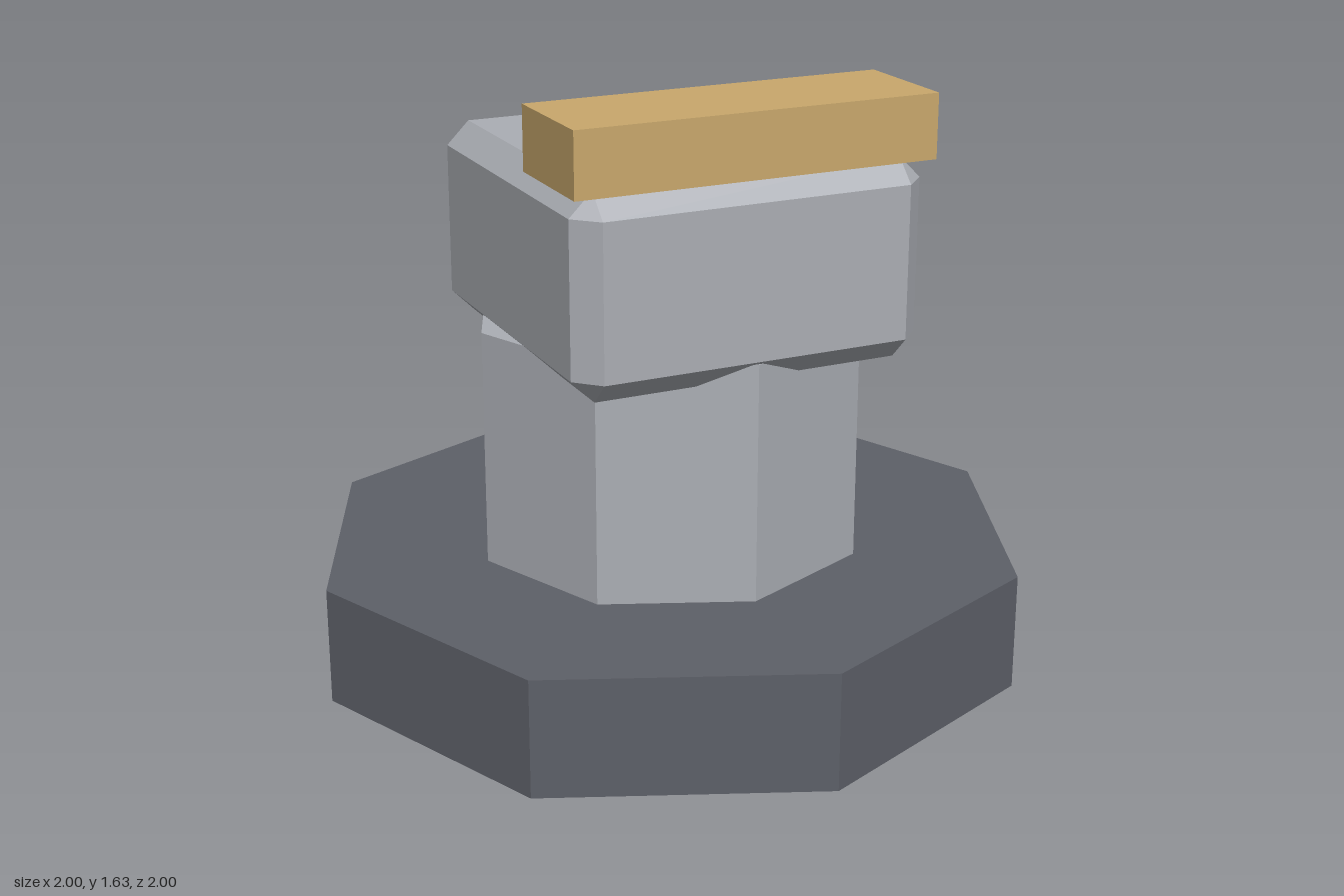
import * as THREE from 'three';
import { ConvexGeometry } from 'three/addons/geometries/ConvexGeometry.js';

const flat = (name, color) => {
  const m = new THREE.MeshStandardMaterial({ color, flatShading: true });
  m.name = name;
  return m;
};

// Box with every edge and corner cut off at 45 degrees
function chamferedBox(w, h, d, c) {
  const points = [];
  for (const sx of [-1, 1]) for (const sy of [-1, 1]) for (const sz of [-1, 1]) {
    const x = w / 2, y = h / 2, z = d / 2;
    points.push(
      new THREE.Vector3(sx * x, sy * (y - c), sz * (z - c)),
      new THREE.Vector3(sx * (x - c), sy * y, sz * (z - c)),
      new THREE.Vector3(sx * (x - c), sy * (y - c), sz * z)
    );
  }
  return new ConvexGeometry(points);
}

export function createModel() {
  const group = new THREE.Group();
  const darkMetal = flat('dark metal', 0x5d6068);
  const lightMetal = flat('light metal', 0xabaeb4);
  const tan = flat('tan', 0xc9a86c);
  const teal = flat('teal glass', 0x80c4cc);

  const add = (name, geometry, material, x, y, z) => {
    const mesh = new THREE.Mesh(geometry, material);
    mesh.name = name;
    mesh.position.set(x, y, z);
    group.add(mesh);
    return mesh;
  };

  // Octagonal base and column, corners on the axes
  add('base', new THREE.CylinderGeometry(1, 1, 0.325, 8), darkMetal, 0, 0.1625, 0);
  add('column', new THREE.CylinderGeometry(0.543, 0.543, 0.655, 8), lightMetal, 0, 0.6525, 0);

  // Turret head with counterweight at the front
  add('head', chamferedBox(0.98, 0.54, 0.98, 0.063), lightMetal, 0, 1.195, 0.055);
  add('counterweight', new THREE.BoxGeometry(1, 0.172, 0.326), tan, 0, 1.547, 0.381);

  // Sight and twin barrels at the back
  add('sight', new THREE.BoxGeometry(0.326, 0.108, 0.08), teal, 0, 1.36, -0.43);
  for (const side of [-1, 1]) {
    const barrel = new THREE.CylinderGeometry(0.076, 0.076, 0.6, 8).rotateX(Math.PI / 2);
    add(side > 0 ? 'leftBarrel' : 'rightBarrel', barrel, darkMetal, side * 0.195, 1.2, -0.677);
  }
  return group;
}
